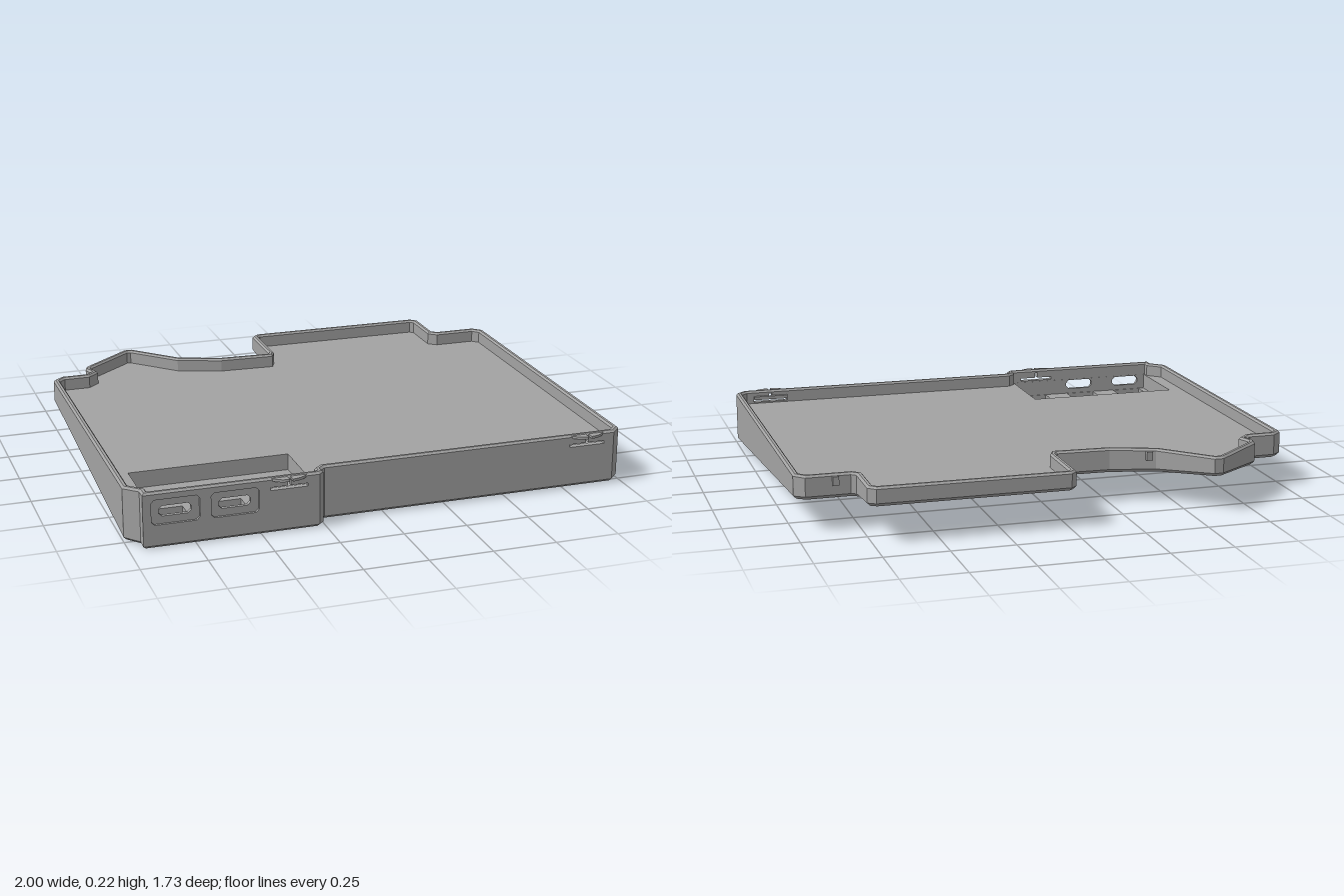
import * as THREE from 'three';

const TOP = 0.22, FLOOR = 0.165, WALL = 0.025, PIT = 0.1, POCKET = 0.075;

// Outline seen from above as [x, z], starting at the back right corner
const OUTLINE = [
  [-1, -0.52], [-0.96, -0.555], [-0.855, -0.555], [-0.828, -0.58], [-0.842, -0.62], [-0.832, -0.655],
  [-0.628, -0.827], [-0.592, -0.827], [-0.42, -0.65], [-0.25, -0.59], [-0.04, -0.58], [-0.03, -0.602],
  [-0.03, -0.84], [-0.005, -0.865], [0.738, -0.86], [0.767, -0.832], [0.767, -0.655], [0.785, -0.64],
  [0.957, -0.64], [0.995, -0.6], [0.995, 0.745], [0.957, 0.783], [-0.238, 0.783], [-0.255, 0.798],
  [-0.255, 0.82], [-0.275, 0.838], [-0.948, 0.838], [-0.948, 0.795], [-1, 0.745],
];
const FRONT_EDGE = 21, PORT_EDGE = 25; // these walls are separate pierced panels

const underside = (z) => Math.max(0, (0.84 - z) * 0.086);

// Move a loop inwards with mitred corners
function inset(loop, d) {
  const n = loop.length;
  const normal = (i) => {
    const a = loop[(i + n) % n], b = loop[(i + 1) % n];
    const l = Math.hypot(b[0] - a[0], b[1] - a[1]);
    return [-(b[1] - a[1]) / l, (b[0] - a[0]) / l];
  };
  return loop.map((p, i) => {
    const u = normal(i - 1), v = normal(i);
    const k = d / (1 + u[0] * v[0] + u[1] * v[1]);
    return [p[0] + (u[0] + v[0]) * k, p[1] + (u[1] + v[1]) * k];
  });
}

// Join successive rings of [x, y, z] with flat faces
function loft(rings, skip = () => false) {
  const pos = [];
  for (let r = 0; r < rings.length - 1; r++) {
    const a = rings[r], b = rings[r + 1];
    for (let i = 0; i < a.length; i++) {
      if (skip(r, i)) continue;
      const j = (i + 1) % a.length;
      pos.push(...a[i], ...b[i], ...a[j], ...b[i], ...b[j], ...a[j]);
    }
  }
  const g = new THREE.BufferGeometry();
  g.setAttribute('position', new THREE.Float32BufferAttribute(pos, 3));
  g.computeVertexNormals();
  return g;
}

const rect = (x0, x1, z0, z1) => [[x0, z0], [x1, z0], [x1, z1], [x0, z1]];
const path = (pts, Type = THREE.Path) => new Type(pts.map((p) => new THREE.Vector2(p[0], p[1])));

// Level surface facing up, with holes
function plate(loop, y, holes = []) {
  const flip = (l) => l.map(([x, z]) => [x, -z]);
  const s = path(flip(loop), THREE.Shape);
  s.holes = holes.map((h) => path(flip(h)));
  return new THREE.ShapeGeometry(s).rotateX(-Math.PI / 2).translate(0, y, 0);
}

// Upright panel pierced by holes
function panel(x0, x1, y0, holes, z, depth) {
  const s = path(rect(x0, x1, y0, 0.212), THREE.Shape);
  s.holes = holes.map((h) => path(h));
  return new THREE.ExtrudeGeometry(s, { depth, bevelEnabled: false }).translate(0, 0, z);
}

// Rectangle with cut corners
const cutRect = (cx, cy, w, h, c) => [
  [cx - w + c, cy - h], [cx + w - c, cy - h], [cx + w, cy - h + c], [cx + w, cy + h - c],
  [cx + w - c, cy + h], [cx - w + c, cy + h], [cx - w, cy + h - c], [cx - w, cy - h + c],
];

// Upside-down T slit that frees a snap tab
const slit = (x) => [
  [x - 0.073, 0.171], [x + 0.073, 0.171], [x + 0.073, 0.183], [x + 0.006, 0.183],
  [x + 0.006, 0.206], [x - 0.006, 0.206], [x - 0.006, 0.183], [x - 0.073, 0.183],
];

export function createModel() {
  const group = new THREE.Group();
  const grey = new THREE.MeshStandardMaterial({ color: 0xa3a3a3 });
  grey.name = 'grey plastic';
  const add = (name, geometry) => {
    const m = new THREE.Mesh(geometry, grey);
    m.name = name;
    group.add(m);
    return m;
  };

  // Outer wall, chamfered rim and inner wall
  const ring = (d, y) => inset(OUTLINE, d).map(([x, z]) => [x, typeof y === 'function' ? y(z) : y, z]);
  const rings = [
    ring(0.012, underside), ring(0, (z) => underside(z) + 0.012), ring(0, 0.212), ring(0.008, TOP),
    ring(0.018, TOP), ring(WALL, 0.212), ring(WALL, FLOOR),
  ];
  add('wall', loft(rings, (r, i) => (r === 1 || r === 5) && (i === FRONT_EDGE || i === PORT_EDGE)));

  // Sloping underside
  const base = new THREE.ShapeGeometry(path(inset(OUTLINE, 0.012), THREE.Shape)).rotateX(Math.PI / 2);
  const p = base.attributes.position;
  for (let i = 0; i < p.count; i++) p.setY(i, underside(p.getZ(i)));
  base.computeVertexNormals();
  add('underside', base);

  // Tray floor with the sunken connector bay and its pockets
  const bay = rect(-0.918, -0.286, 0.485, 0.812);
  const pockets = [-0.83, -0.605, -0.375].map((x) => rect(x - 0.063, x + 0.063, 0.71, 0.808));
  const sides = (loop, y0, y1) => loft([y0, y1].map((y) => loop.map(([x, z]) => [x, y, z])));
  add('floor', plate(inset(OUTLINE, WALL), FLOOR, [bay]));
  add('baySides', sides(bay.slice(), FLOOR, PIT));
  add('bayFloor', plate(bay, PIT, pockets));
  for (const k of pockets) {
    add('pocketSides', sides(k, PIT, POCKET));
    add('pocketFloor', plate(k, POCKET));
  }
  // Open the bay towards the port slots
  group.getObjectByName('baySides').geometry = loft(
    [FLOOR, PIT].map((y) => bay.map(([x, z]) => [x, y, z])), (r, i) => i === 2);

  // Front panels: framed ports and snap slits
  const ports = [-0.825, -0.6];
  const frames = ports.map((x) => cutRect(x, 0.141, 0.091, 0.049, 0.012));
  const slots = ports.map((x) => cutRect(x, 0.141, 0.061, 0.02, 0.012));
  const tabs = [[-0.393, 0.838], [0.843, 0.783]];
  add('portFrames', panel(-0.948, -0.275, 0.012, [...frames, slit(tabs[0][0])], 0.828, 0.01));
  add('portSlots', panel(-0.948, -0.275, 0.012, [...slots, slit(tabs[0][0])], 0.813, 0.015));
  add('frontPanel', panel(-0.25, 0.957, 0.017, [slit(tabs[1][0])], 0.758, WALL));

  // Split rounded snap tabs on the front
  for (const [x, z] of tabs) {
    for (const s of [-1, 1]) {
      const half = new THREE.Shape();
      half.moveTo(s * 0.006, -0.004);
      half.lineTo(s * 0.006, 0.026);
      half.quadraticCurveTo(s * 0.045, 0.024, s * 0.068, -0.004);
      const g = new THREE.ExtrudeGeometry(half, { depth: 0.01, bevelEnabled: false, curveSegments: 8 });
      add('snapTab', g.rotateX(Math.PI / 2).translate(x, 0.217, z));
    }
  }
  // Clip behind the left tab and small catches on the back wall
  add('innerClip', new THREE.BoxGeometry(0.146, 0.014, 0.015).translate(0.843, 0.19, 0.752));
  for (const [x, z] of [[-0.393, -0.645], [0.843, -0.642]]) {
    add('backCatch', new THREE.BoxGeometry(0.024, 0.035, 0.02).translate(x, 0.194, z));
  }
  return group;
}
